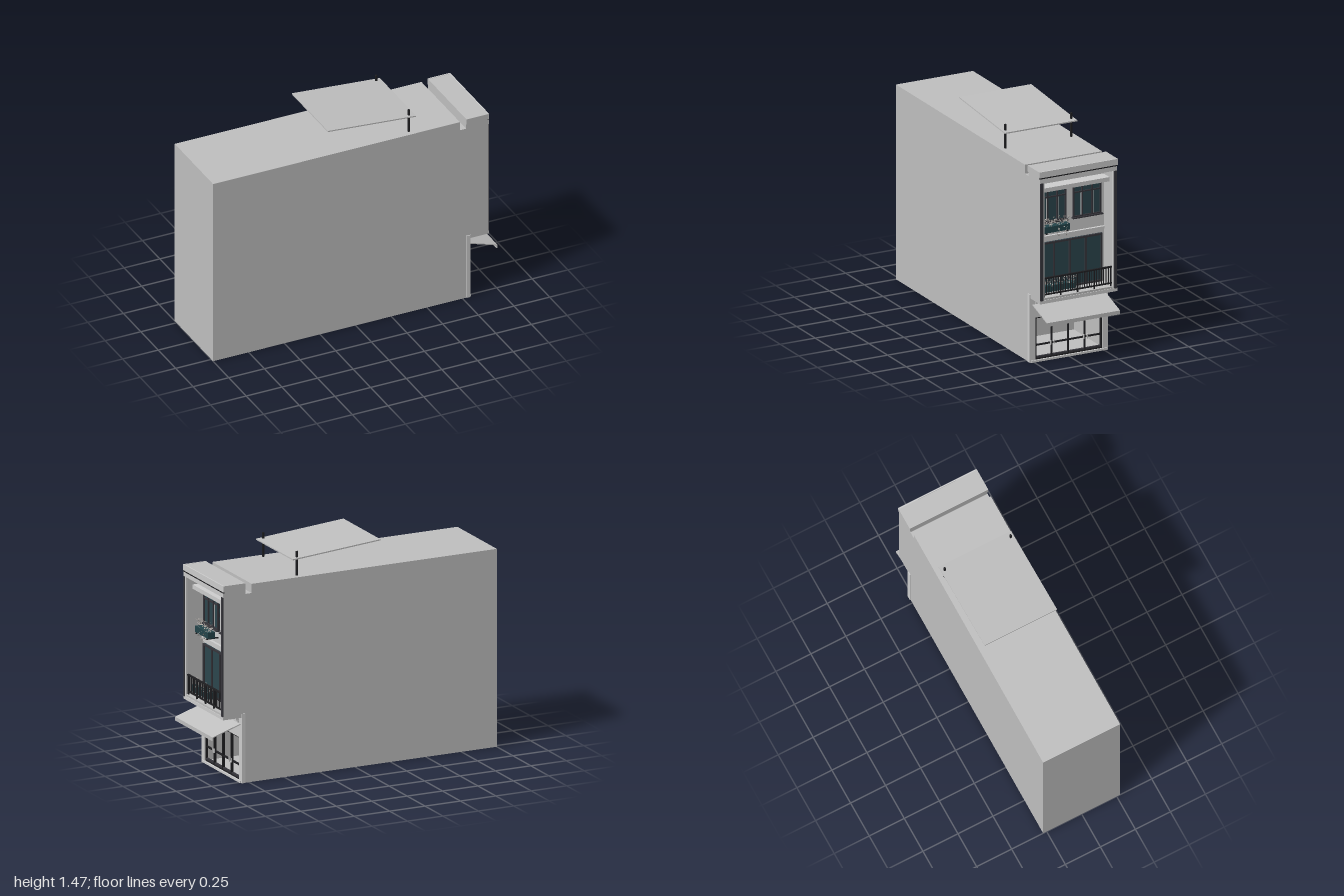
import * as THREE from 'three';

const mat = (name, color, extra = {}) => {
  const m = new THREE.MeshStandardMaterial({ color, ...extra });
  m.name = name;
  return m;
};

export function createModel() {
  const house = new THREE.Group();
  house.name = 'townhouse';
  const body = mat('wall grey', 0xc0c0c0);
  const trim = mat('light plaster', 0xcfcfcf);
  const frame = mat('dark frame', 0x37363c);
  const iron = mat('black iron', 0x1f1f22);
  const glass = mat('teal glass', 0x2c464e);
  const box2 = mat('planter teal', 0x24444a);
  const leaf = mat('pale foliage', 0xaaa5a0, { side: THREE.DoubleSide });

  // Box given by its limits on each axis
  const box = (name, m, x0, x1, y0, y1, z0, z1, parent = house) => {
    const mesh = new THREE.Mesh(new THREE.BoxGeometry(x1 - x0, y1 - y0, z1 - z0), m);
    mesh.position.set((x0 + x1) / 2, (y0 + y1) / 2, (z0 + z1) / 2);
    mesh.name = name;
    parent.add(mesh);
    return mesh;
  };
  // Closed side profile [x, y] swept across the width
  const sweep = (name, m, pts, z0, z1) => {
    const s = new THREE.Shape(pts.map(p => new THREE.Vector2(...p)));
    const g = new THREE.ExtrudeGeometry(s, { depth: z1 - z0, bevelEnabled: false });
    const mesh = new THREE.Mesh(g, m);
    mesh.position.z = z0;
    mesh.name = name;
    house.add(mesh);
  };

  // Main block: solid core with a shop room, flanked by full-profile side walls
  const W = 0.275, IN = 0.25;
  sweep('mainBlock', body, [[-1, 0], [0.4, 0], [0.4, 0.3], [0.8, 0.3], [0.8, 0.43], [0.93, 0.43], [0.93, 0.465],
    [0.8, 0.465], [0.8, 1.235], [0.93, 1.235], [0.93, 1.31], [0.775, 1.31], [0.775, 1.24], [0.73, 1.24],
    [0.73, 1.3], [-1, 1.3]], -IN, IN);
  for (const s of [-1, 1]) {
    sweep('sideWall', body, [[-1, 0], [0.8, 0], [0.8, 0.43], [0.93, 0.43], [0.93, 1.31], [0.775, 1.31],
      [0.775, 1.24], [0.73, 1.24], [0.73, 1.3], [-1, 1.3]], s > 0 ? IN : -W, s > 0 ? W : -IN);
  }
  box('shopFloor', body, 0.4, 0.8, 0, 0.012, -IN, IN);

  // Recessed facade skin and ground floor surround
  box('balconyWall', trim, 0.8, 0.804, 0.465, 1.235, -IN, IN);
  box('lintel', trim, 0.8, 0.804, 0.296, 0.43, -0.25, 0.25);
  box('doorStep', trim, 0.79, 0.81, 0, 0.014, -0.27, 0.27);
  for (const s of [-1, 1]) {
    const z = (a, b) => (s > 0 ? [a, b] : [-b, -a]);
    box('groundPilaster', trim, 0.775, 0.803, 0, 0.455, ...z(0.24, 0.28));
    box('parapetCheek', body, 0.775, 0.932, 1.27, 1.311, ...z(0.27, 0.28));
    box('balconyPost', frame, 0.905, 0.936, 0.45, 1.235, ...z(0.254, 0.273));
    box('innerTrim', trim, 0.92, 0.933, 0.44, 1.235, ...z(0.244, 0.253));
  }
  box('parapetLine', iron, 0.925, 0.934, 1.264, 1.271, -0.278, 0.278);
  box('parapetFace', trim, 0.925, 0.933, 1.271, 1.311, -0.28, 0.28);
  box('beamFace', trim, 0.925, 0.933, 1.235, 1.264, -0.275, 0.275);
  box('slabFace', trim, 0.925, 0.934, 0.43, 0.452, -0.275, 0.275);

  // Horizontal mouldings
  box('cornice', trim, 0.804, 0.885, 1.152, 1.18, -0.245, 0.245);
  box('upperMoulding', trim, 0.804, 0.82, 1.215, 1.235, -0.245, 0.245);
  box('middleMoulding', trim, 0.804, 0.822, 0.818, 0.834, -0.245, 0.245);
  box('middleMouldingLower', trim, 0.804, 0.814, 0.8, 0.818, -0.24, 0.24);
  [0.39, 0.405, 0.42].forEach((y, i) =>
    box('shopMoulding', trim, 0.804, 0.812 + i * 0.01, y, y + 0.013, -0.24, 0.24));

  // Ceiling spotlights
  for (const z of [-0.15, 0, 0.15]) {
    const lamp = new THREE.Mesh(new THREE.CylinderGeometry(0.01, 0.01, 0.006, 12), trim);
    lamp.position.set(0.875, 1.232, z);
    lamp.name = 'ceilingLight';
    house.add(lamp);
  }

  // Framed opening with a list of mullions and an optional crossbar
  const opening = (name, x, y0, y1, z0, z1, mullions, barY, t, m, pane) => {
    const g = new THREE.Group();
    g.name = name;
    house.add(g);
    if (pane) box('pane', pane, x, x + 0.006, y0, y1, z0, z1, g);
    const d = x + 0.016;
    box('frameTop', m, x, d, y1 - t, y1, z0, z1, g);
    box('frameBottom', m, x, d, y0, y0 + t, z0, z1, g);
    for (const z of [z0 + t / 2, z1 - t / 2, ...mullions])
      box('mullion', m, x, d, y0 + t, y1 - t, z - t / 2, z + t / 2, g);
    if (barY) box('crossbar', m, x, d - 0.002, barY - t / 2, barY + t / 2, z0 + t, z1 - t, g);
    return g;
  };

  // Top floor windows with sills and pale sash lines
  for (const c of [0.125, -0.123]) {
    const g = opening('window', 0.804, 0.925, 1.138, c - 0.1, c + 0.1, [c - 0.035, c + 0.035], 1.09, 0.009, frame, glass);
    box('sill', frame, 0.804, 0.832, 0.919, 0.927, c - 0.107, c + 0.107, g);
    for (const s of [-1, 1]) box('sashLine', trim, 0.81, 0.816, 0.936, 1.085, c + s * 0.042 - 0.002, c + s * 0.042 + 0.002, g);
  }
  // Balcony doors and glazed shop front
  opening('balconyDoors', 0.804, 0.468, 0.79, -0.232, 0.232, [-0.113, 0, 0.113], 0, 0.012, frame, glass);
  const shop = opening('shopDoors', 0.782, 0.014, 0.296, -0.238, 0.238, [-0.118, 0, 0.118], 0.108, 0.008, iron, null);
  box('kickRail', frame, 0.782, 0.797, 0.016, 0.033, -0.236, 0.236, shop);
  for (const z of [-0.13, -0.106, 0.106, 0.13])
    box('doorHandle', trim, 0.798, 0.806, 0.098, 0.128, z - 0.003, z + 0.003, shop);

  // Balcony railing
  const rail = new THREE.Group();
  rail.name = 'railing';
  house.add(rail);
  box('topRail', iron, 0.91, 0.924, 0.588, 0.597, -0.246, 0.246, rail);
  box('bottomRail', iron, 0.912, 0.922, 0.48, 0.488, -0.246, 0.246, rail);
  for (let i = 0; i <= 28; i++) {
    const z = -0.238 + i * 0.017;
    const r = i % 7 === 0 ? 0.004 : 0.0022;
    box('baluster', iron, 0.917 - r, 0.917 + r, i % 7 ? 0.484 : 0.465, 0.59, z - r, z + r, rail);
  }

  // Planters and foliage
  let seed = 7;
  const rnd = () => (seed = (seed * 16807) % 2147483647) / 2147483647;
  const leafGeo = new THREE.CircleGeometry(0.0065, 5);
  const foliage = (name, count, x, y0, y1, z0, z1) => {
    const g = new THREE.Group();
    g.name = name;
    house.add(g);
    for (let i = 0; i < count; i++) {
      const l = new THREE.Mesh(leafGeo, leaf);
      l.position.set(x + (rnd() - 0.5) * 0.045, y0 + rnd() * (y1 - y0), z0 + rnd() * (z1 - z0));
      l.rotation.set(rnd() * 6, rnd() * 6, rnd() * 6);
      l.scale.y = 0.6;
      l.name = 'leaf';
      g.add(l);
    }
  };
  box('windowPlanter', box2, 0.832, 0.882, 0.876, 0.916, 0.033, 0.218);
  for (const z of [0.05, 0.2]) box('planterBracket', iron, 0.804, 0.886, 0.868, 0.876, z - 0.004, z + 0.004);
  foliage('windowFlowers', 110, 0.858, 0.915, 0.965, 0.03, 0.225);
  foliage('trailingStems', 10, 0.886, 0.85, 0.915, 0.115, 0.125);
  foliage('trailingStems', 10, 0.886, 0.84, 0.915, 0.065, 0.08);
  box('balconyPlanter', box2, 0.86, 0.9, 0.488, 0.53, 0, 0.228);
  foliage('balconyFlowers', 120, 0.885, 0.527, 0.575, -0.01, 0.235);

  // Sloping shop awning with a hanging hem
  sweep('awning', body, [[0.803, 0.38], [0.994, 0.318], [0.994, 0.298], [1, 0.298], [1, 0.323], [0.803, 0.387]], -0.26, 0.26);

  // Roof canopy on two posts
  sweep('roofCanopy', body, [[-0.187, 1.459], [0.43, 1.409], [0.43, 1.417], [-0.187, 1.467]], -0.258, 0.258);
  for (const z of [-0.235, 0.235]) box('canopyPost', iron, 0.386, 0.398, 1.3, 1.46, z - 0.006, z + 0.006);

  return house;
}
